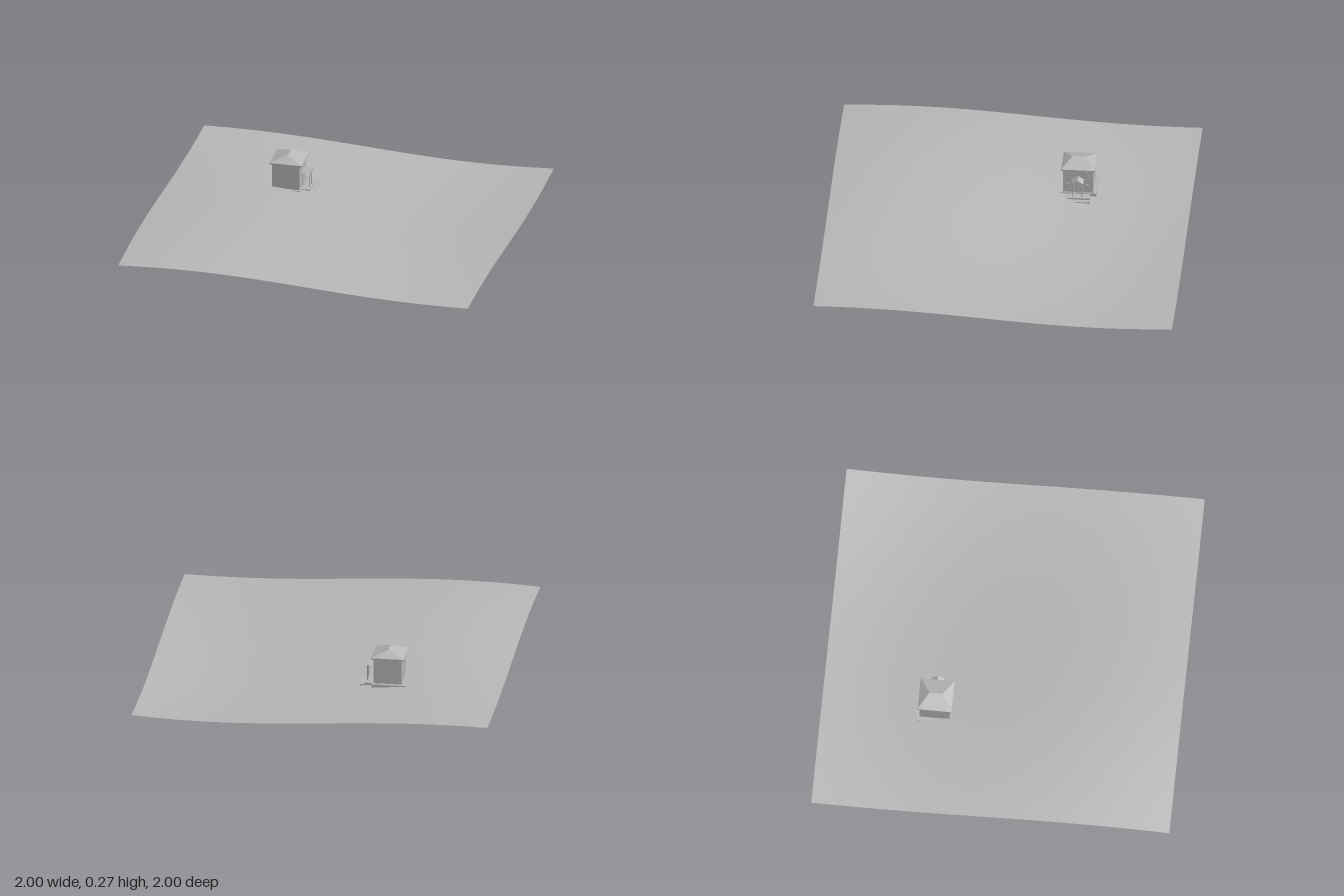
import * as THREE from 'three';

const material = new THREE.MeshStandardMaterial({ color: 0xb8b8b8, side: THREE.DoubleSide });
material.name = 'plain grey';

const CX = -0.357, CZ = -0.367; // house centre

// rolling ground height
const height = (x, z) =>
  0.075 + 0.0435 * (Math.sin(2.3 * z) * Math.cos(0.85 * x) - Math.sin(2.3 * x) * Math.cos(0.85 * z));

function add(parent, name, geometry, x = 0, y = 0, z = 0) {
  const mesh = new THREE.Mesh(geometry, material);
  mesh.name = name;
  mesh.position.set(x, y, z);
  parent.add(mesh);
  return mesh;
}

// box given by its lower and upper corners
function block(parent, name, [x0, y0, z0], [x1, y1, z1]) {
  const geometry = new THREE.BoxGeometry(x1 - x0, y1 - y0, z1 - z0);
  return add(parent, name, geometry, (x0 + x1) / 2, (y0 + y1) / 2, (z0 + z1) / 2);
}

// box whose top face shrinks to a ridge along z
function hipGeometry(width, rise, depth, ridge) {
  const geometry = new THREE.BoxGeometry(width, rise, depth);
  const p = geometry.attributes.position;
  for (let i = 0; i < p.count; i++) {
    if (p.getY(i) > 0) {
      p.setX(i, 0);
      p.setZ(i, Math.sign(p.getZ(i)) * ridge / 2);
    }
  }
  const flat = geometry.toNonIndexed();
  flat.computeVertexNormals();
  return flat;
}

export function createModel() {
  const model = new THREE.Group();

  // ground sheet
  const ground = new THREE.PlaneGeometry(2, 2, 64, 64).rotateX(-Math.PI / 2);
  const p = ground.attributes.position;
  for (let i = 0; i < p.count; i++) p.setY(i, height(p.getX(i), p.getZ(i)));
  ground.computeVertexNormals();
  add(model, 'ground', ground);

  // house body
  const house = new THREE.Group();
  house.name = 'house';
  model.add(house);
  block(house, 'foundation', [-0.46, 0.055, -0.47], [-0.27, 0.08, -0.27]);
  block(house, 'walls', [CX - 0.078, 0.07, CZ - 0.083], [CX + 0.078, 0.226, CZ + 0.083]);
  block(house, 'eaves', [CX - 0.092, 0.224, CZ - 0.094], [CX + 0.092, 0.233, CZ + 0.094]);
  add(house, 'roof', hipGeometry(0.184, 0.034, 0.188, 0.074), CX, 0.25, CZ);

  // windows and door on the +x wall
  const wall = CX + 0.078;
  for (const z of [-0.053, 0.053]) {
    for (const y of [0.125, 0.2]) {
      block(house, 'windowFrame', [wall - 0.002, y - 0.011, CZ + z - 0.01], [wall + 0.002, y + 0.011, CZ + z + 0.01]);
      block(house, 'windowPane', [wall, y - 0.008, CZ + z - 0.007], [wall + 0.003, y + 0.008, CZ + z + 0.007]);
    }
  }
  block(house, 'door', [wall - 0.002, 0.08, CZ - 0.02], [wall + 0.003, 0.155, CZ + 0.02]);

  // porch floor, step, posts and gable
  const porch = new THREE.Group();
  porch.name = 'porch';
  model.add(porch);
  block(porch, 'porchFloor', [-0.28, 0.055, CZ - 0.07], [-0.225, 0.075, CZ + 0.055]);
  block(porch, 'porchStep', [-0.23, 0.055, CZ - 0.07], [-0.2, 0.065, CZ + 0.055]);
  for (const side of [-1, 1]) {
    add(porch, 'porchPost', new THREE.CylinderGeometry(0.003, 0.003, 0.095, 8), -0.237, 0.1205, CZ + side * 0.025);
  }
  const gable = new THREE.Shape([[-0.033, 0], [0.033, 0], [0, 0.02]].map(([x, y]) => new THREE.Vector2(x, y)));
  const canopy = new THREE.ExtrudeGeometry(gable, { depth: 0.052, bevelEnabled: false }).rotateY(Math.PI / 2);
  add(porch, 'porchRoof', canopy, wall, 0.166, CZ);

  return model;
}
